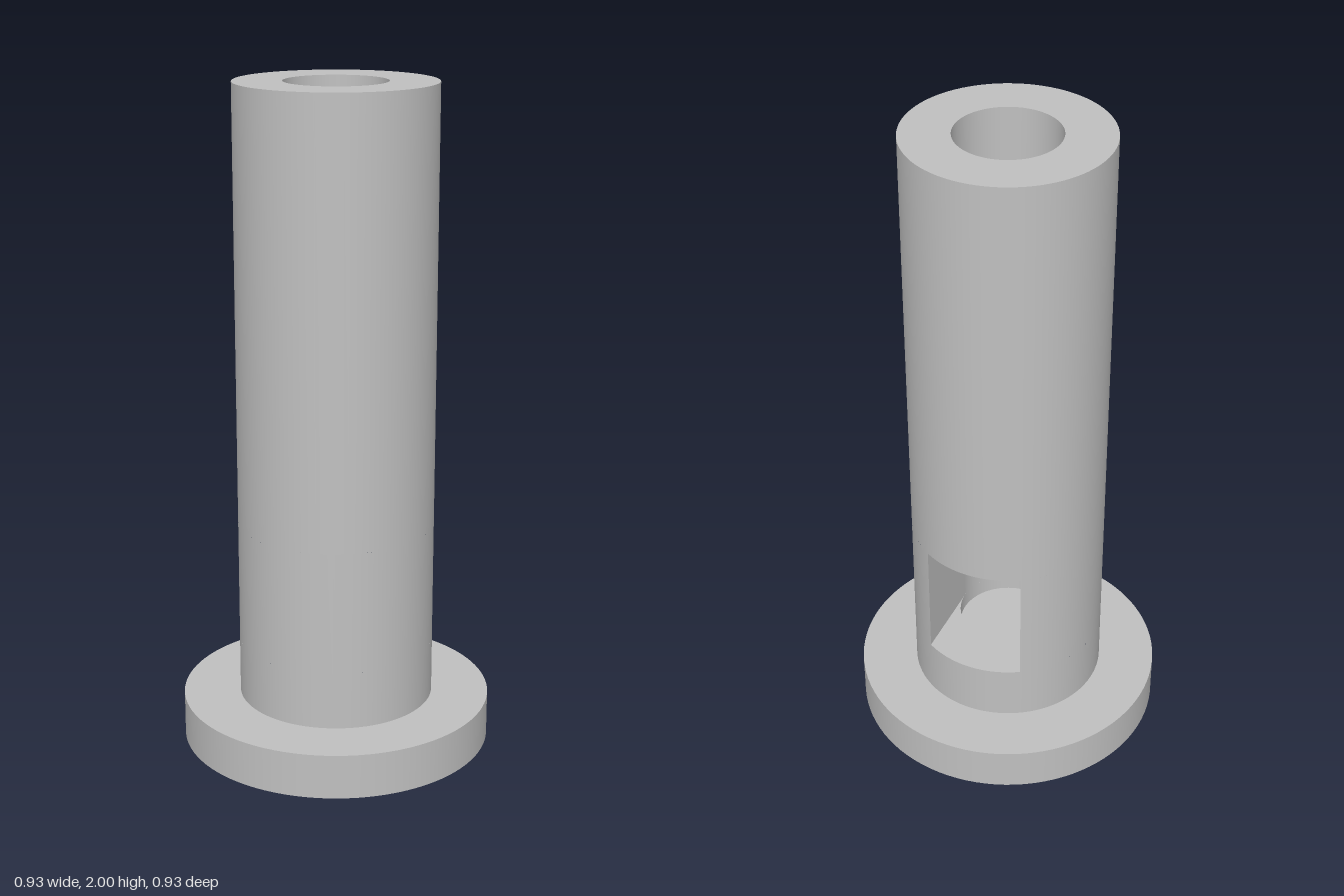
import * as THREE from 'three';
import { mergeGeometries } from 'three/addons/utils/BufferGeometryUtils.js';

const TUBE = 0.293, BORE = 0.15, FLANGE = 0.465;
const HEIGHT = 2, FLANGE_BOTTOM = 0.02, FLANGE_TOP = 0.155;
const BORE_FLOOR = 0.28, SILL = 0.33, HEAD = 0.7;
const TAU = Math.PI * 2;

// Surface swept round the axis from (r0, y0) to (r1, y1)
function band(r0, y0, r1, y1, start = 0, length = TAU) {
  const points = [new THREE.Vector2(r0, y0), new THREE.Vector2(r1, y1)];
  return new THREE.LatheGeometry(points, 96, start, length);
}

// Flat floor of the window, between its straight sides, the bore and the outside
function windowFloor() {
  const a = Math.acos(BORE / TUBE);
  const shape = new THREE.Shape();
  shape.moveTo(BORE, 0);
  shape.absarc(0, 0, TUBE, a, Math.PI - a, false);
  shape.lineTo(-BORE, 0);
  shape.absarc(0, 0, BORE, Math.PI, 0, true);
  return new THREE.ShapeGeometry(shape, 48);
}

export function createModel() {
  const grey = new THREE.MeshStandardMaterial({ color: 0xc0c0c0 });
  grey.name = 'grey';
  const group = new THREE.Group();
  const add = (name, parts) => {
    const mesh = new THREE.Mesh(mergeGeometries(parts), grey);
    mesh.name = name;
    group.add(mesh);
  };

  // Tube outside, left open at the back for the window
  const half = Math.asin(BORE / TUBE);
  add('tube', [
    band(0, 0, TUBE, 0),
    band(TUBE, 0, TUBE, FLANGE_BOTTOM),
    band(TUBE, FLANGE_TOP, TUBE, SILL),
    band(TUBE, SILL, TUBE, HEAD, Math.PI + half, TAU - 2 * half),
    band(TUBE, HEAD, TUBE, HEIGHT),
    band(TUBE, HEIGHT, BORE, HEIGHT),
  ]);

  // Blind bore, only its front half remains beside the window
  add('bore', [
    band(BORE, HEIGHT, BORE, HEAD),
    band(BORE, HEAD, BORE, SILL, -Math.PI / 2, Math.PI),
    band(BORE, SILL, BORE, BORE_FLOOR),
    band(BORE, BORE_FLOOR, 0, BORE_FLOOR),
  ]);

  // Window sides, sill and head
  const depth = Math.sqrt(TUBE * TUBE - BORE * BORE);
  const sides = [1, -1].map((s) =>
    new THREE.PlaneGeometry(depth, HEAD - SILL)
      .rotateY(-s * Math.PI / 2)
      .translate(s * BORE, (SILL + HEAD) / 2, -depth / 2));
  add('window', [
    ...sides,
    windowFloor().rotateX(-Math.PI / 2).translate(0, SILL, 0),
    windowFloor().rotateX(Math.PI / 2).rotateY(Math.PI).translate(0, HEAD, 0),
  ]);

  // Round flange near the foot
  add('flange', [
    band(TUBE, FLANGE_BOTTOM, FLANGE, FLANGE_BOTTOM),
    band(FLANGE, FLANGE_BOTTOM, FLANGE, FLANGE_TOP),
    band(FLANGE, FLANGE_TOP, TUBE, FLANGE_TOP),
  ]);

  return group;
}
